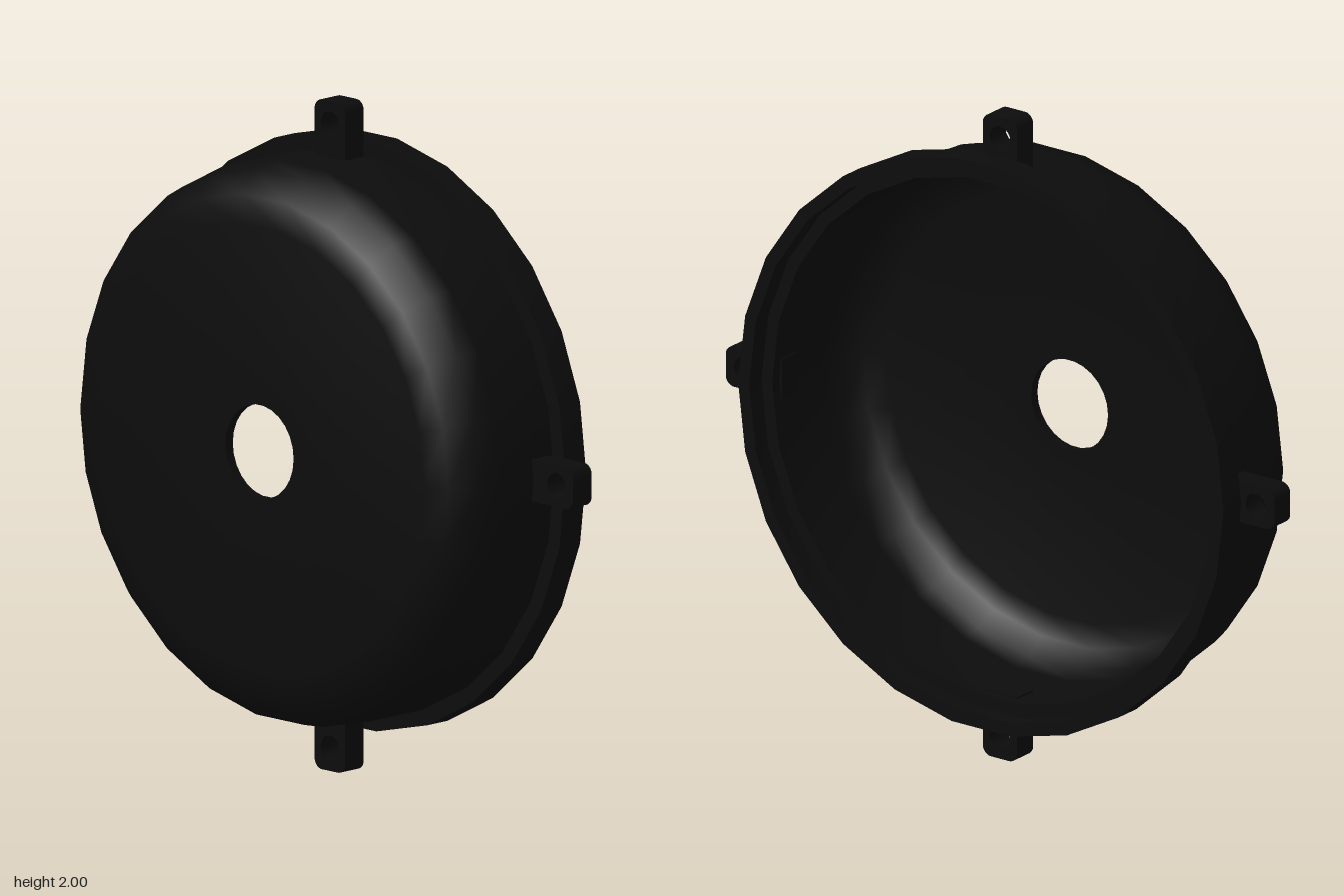
import * as THREE from 'three';
import { toCreasedNormals } from 'three/addons/utils/BufferGeometryUtils.js';

const SIDES = 26;

export function createModel() {
  const model = new THREE.Group();
  model.name = 'roundCover';
  const black = new THREE.MeshStandardMaterial({ color: 0x0c0c0c });

  // Hollow dish: closed wall section (radius, depth), open to the back
  const section = [
    [0.845, -0.23], [0.885, -0.23], [0.885, -0.145], [0.838, -0.145], // stepped rim
    [0.838, 0.07], [0.82, 0.145], [0.757, 0.21], [0.675, 0.23],       // wall and rounded shoulder
    [0.14, 0.23], [0.14, 0.2],                                       // centre hole
    [0.67, 0.2], [0.74, 0.183], [0.79, 0.13], [0.806, 0.07],         // inside
    [0.806, -0.17], [0.845, -0.17], [0.845, -0.23],                   // inner ledge
  ].map(([r, d]) => new THREE.Vector2(r, d));
  const dishGeometry = new THREE.LatheGeometry(section, SIDES, Math.PI / 2);
  dishGeometry.rotateX(Math.PI / 2);
  const dish = new THREE.Mesh(toCreasedNormals(dishGeometry, 0.6), black);
  dish.name = 'dish';
  dish.position.y = 1;
  model.add(dish);

  // Mounting tab pointing along +x, with rounded outer corners and a screw hole
  const w = 0.0625, c = 0.03, inner = 0.795;
  const outline = new THREE.Shape();
  outline.moveTo(inner, -w);
  outline.lineTo(1 - c, -w);
  outline.absarc(1 - c, -w + c, c, -Math.PI / 2, 0, false);
  outline.absarc(1 - c, w - c, c, 0, Math.PI / 2, false);
  outline.lineTo(inner, w);
  outline.closePath();
  const hole = new THREE.Path();
  hole.absarc(0.932, 0, 0.038, 0, Math.PI * 2, true);
  outline.holes.push(hole);
  const extruded = new THREE.ExtrudeGeometry(outline, { depth: 0.077, bevelEnabled: false, curveSegments: 8 });
  extruded.translate(0, 0, -0.137);
  const tabGeometry = toCreasedNormals(extruded, 0.8);

  // Four tabs at quarter turns
  ['leftTab', 'topTab', 'rightTab', 'bottomTab'].forEach((name, i) => {
    const tab = new THREE.Mesh(tabGeometry, black);
    tab.name = name;
    tab.position.y = 1;
    tab.rotation.z = i * Math.PI / 2;
    model.add(tab);
  });

  return model;
}
